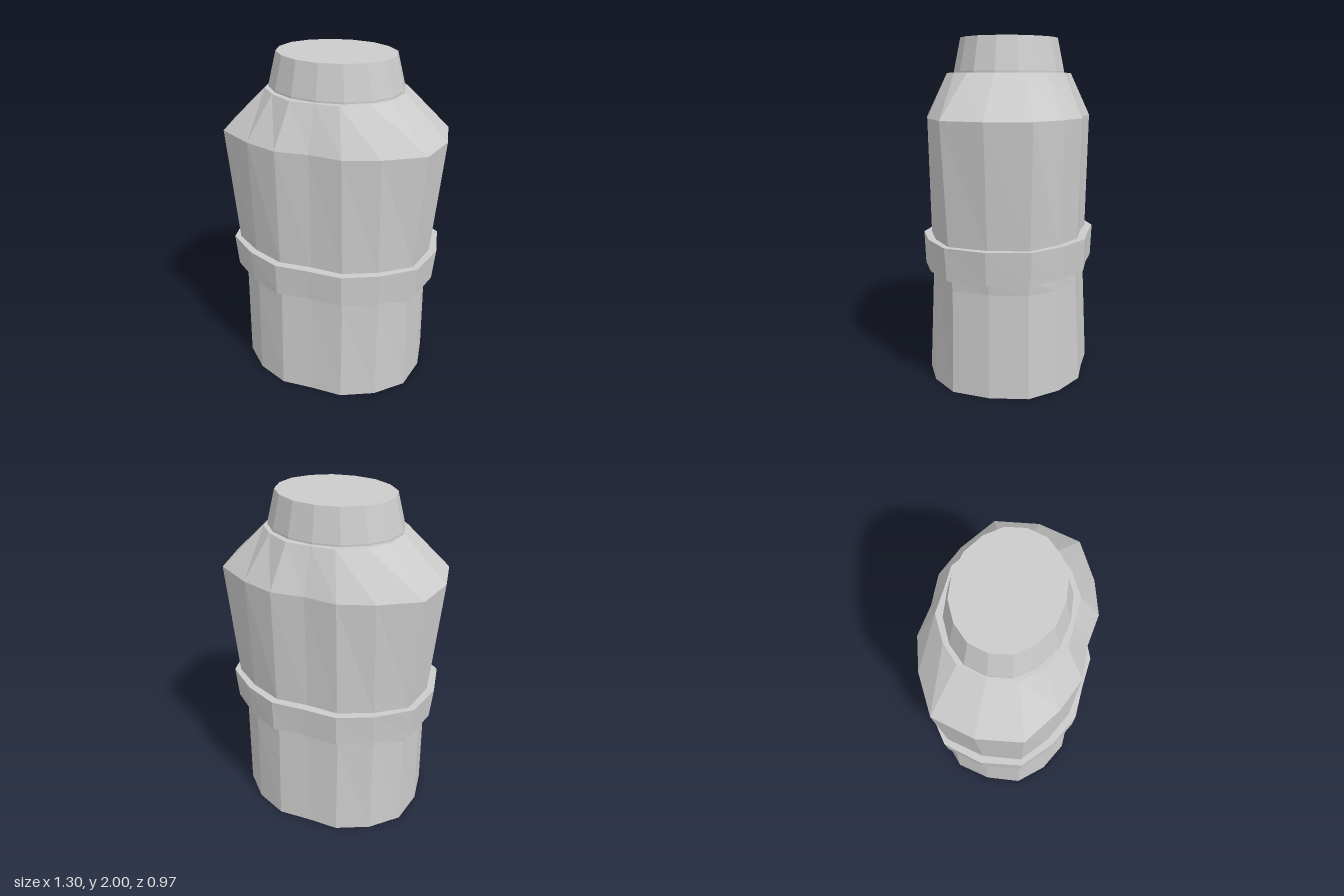
import * as THREE from 'three';

const material = new THREE.MeshStandardMaterial({ color: 0xcccccc, flatShading: true });

// Mirror a quarter outline (from the +x axis to the +z axis) into a full ring at height y.
function ring(y, quarter) {
  const half = [...quarter, ...quarter.slice(0, -1).reverse().map(([x, z]) => [-x, z])];
  const full = [...half, ...half.slice(1, -1).reverse().map(([x, z]) => [x, -z])];
  return full.map(([x, z]) => new THREE.Vector3(x, y, z));
}

// Skin stacked rings, bottom to top, and cap both ends.
function loft(name, rings) {
  const points = [];
  const count = rings[0].length;
  for (let r = 0; r < rings.length - 1; r++) {
    for (let i = 0; i < count; i++) {
      const j = (i + 1) % count;
      const low = rings[r], up = rings[r + 1];
      points.push(low[i], up[i], up[j], low[i], up[j], low[j]);
    }
  }
  const bottom = rings[0], top = rings[rings.length - 1];
  const bottomCentre = new THREE.Vector3(0, bottom[0].y, 0);
  const topCentre = new THREE.Vector3(0, top[0].y, 0);
  for (let i = 0; i < count; i++) {
    const j = (i + 1) % count;
    points.push(bottomCentre, bottom[i], bottom[j], topCentre, top[j], top[i]);
  }
  const geometry = new THREE.BufferGeometry().setFromPoints(points);
  geometry.computeVertexNormals();
  const mesh = new THREE.Mesh(geometry, material);
  mesh.name = name;
  return mesh;
}

export function createModel() {
  const group = new THREE.Group();
  group.name = 'torso';

  // Waist, chest and sloping shoulders
  group.add(loft('body', [
    ring(0, [[0.56, 0], [0.525, 0.22], [0.38, 0.37], [0.19, 0.46], [0, 0.455]]),
    ring(0.6, [[0.55, 0], [0.52, 0.215], [0.38, 0.35], [0.19, 0.433], [0, 0.425]]),
    ring(0.67, [[0.558, 0], [0.525, 0.22], [0.38, 0.35], [0.19, 0.43], [0, 0.422]]),
    ring(0.86, [[0.585, 0], [0.545, 0.23], [0.38, 0.355], [0.19, 0.44], [0, 0.43]]),
    ring(1.55, [[0.65, 0], [0.6, 0.25], [0.385, 0.385], [0.19, 0.455], [0, 0.438]]),
    ring(1.8, [[0.40, 0], [0.37, 0.16], [0.28, 0.26], [0.14, 0.345], [0, 0.343]]),
  ]));

  // Belt band, slightly wider at its upper edge
  group.add(loft('belt', [
    ring(0.67, [[0.61, 0], [0.565, 0.235], [0.39, 0.385], [0.2, 0.477], [0, 0.47]]),
    ring(0.86, [[0.63, 0], [0.58, 0.243], [0.4, 0.392], [0.2, 0.485], [0, 0.48]]),
  ]));

  // Tapered neck
  const neckOutline = [[0.39, 0], [0.363, 0.125], [0.277, 0.227], [0.15, 0.3], [0, 0.323]];
  group.add(loft('neck', [
    ring(1.795, neckOutline),
    ring(1.81, neckOutline),
    ring(2, neckOutline.map(([x, z]) => [x * 0.88, z * 0.88])),
  ]));

  return group;
}
